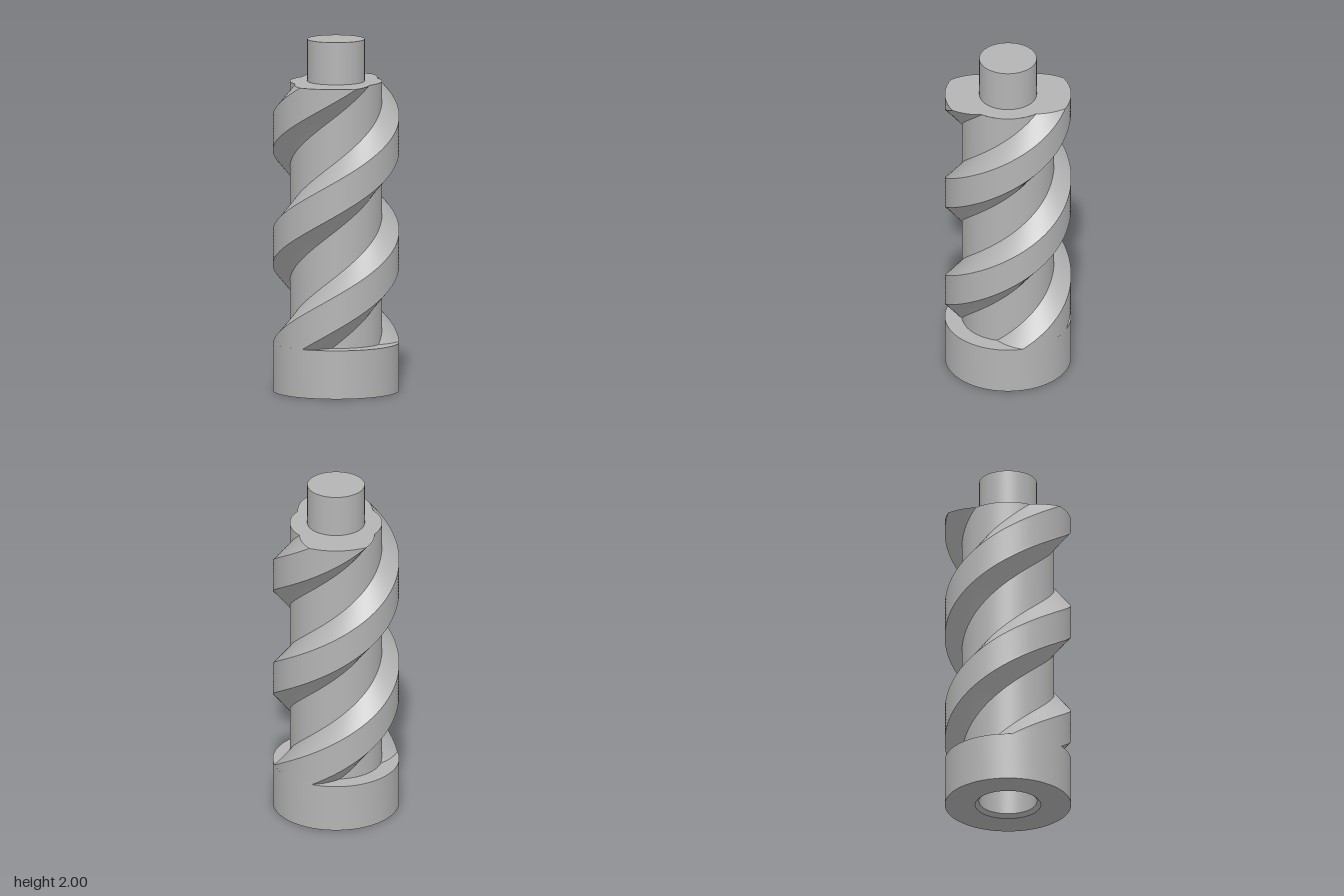
import * as THREE from 'three';
import { toCreasedNormals } from 'three/addons/utils/BufferGeometryUtils.js';

const OUTER = 0.356, CORE = 0.26, SHAFT = 0.162;
const Y0 = 0.275, Y1 = 1.76, PITCH = 1.3;
const deg = THREE.MathUtils.degToRad;
const CREST = deg(54.2);                    // crest centre angle at the top face
const LAND = deg(26.9), FOOT = deg(54);     // half widths of crest and thread foot

// Strip of thread surface between two angle/radius pairs, twisted along the height
function helicalStrip(a0, r0, a1, r1) {
  const geo = new THREE.PlaneGeometry(1, 1, 10, 160);
  const p = geo.attributes.position;
  for (let i = 0; i < p.count; i++) {
    const u = p.getX(i) + 0.5, y = Y0 + (p.getY(i) + 0.5) * (Y1 - Y0);
    const a = a0 + (a1 - a0) * u + (y - Y1) / PITCH * Math.PI * 2;
    const r = r0 + (r1 - r0) * u;
    p.setXYZ(i, r * Math.cos(a), y, -r * Math.sin(a));
  }
  geo.computeVertexNormals();
  return geo;
}

// Flat end face with the two-lobed thread section
function endFace() {
  const pts = [];
  const run = (a0, r0, a1, r1) => {
    for (let i = 0; i < 16; i++) {
      const t = i / 16, a = a0 + (a1 - a0) * t, r = r0 + (r1 - r0) * t;
      pts.push(new THREE.Vector2(r * Math.cos(a), r * Math.sin(a)));
    }
  };
  for (const c of [CREST, CREST + Math.PI]) {
    run(c - FOOT, CORE, c - LAND, OUTER);
    run(c - LAND, OUTER, c + LAND, OUTER);
    run(c + LAND, OUTER, c + FOOT, CORE);
    run(c + FOOT, CORE, c + Math.PI - FOOT, CORE);
  }
  return new THREE.ShapeGeometry(new THREE.Shape(pts)).rotateX(-Math.PI / 2).translate(0, Y1, 0);
}

function turned(profile) {
  const pts = profile.map(([r, y]) => new THREE.Vector2(r, y));
  return toCreasedNormals(new THREE.LatheGeometry(pts, 96), 0.5);
}

export function createModel() {
  const steel = new THREE.MeshStandardMaterial({ color: 0xb4b4b4 });
  steel.name = 'steel grey';
  const model = new THREE.Group();
  model.name = 'twinStartScrew';
  const add = (name, geo, parent = model) => {
    const mesh = new THREE.Mesh(geo, steel);
    mesh.name = name;
    parent.add(mesh);
  };

  // Collar with a chamfered blind socket underneath
  add('baseCollar', turned([[0, 0.26], [0.163, 0.26], [0.163, 0.02], [0.185, 0],
    [OUTER, 0], [OUTER, Y0], [0.2, Y0]]));
  add('core', turned([[CORE, Y0], [CORE, Y1]]));
  add('topShaft', turned([[SHAFT, Y1], [SHAFT, 2], [0, 2]]));
  add('threadEndFace', endFace());

  // Two identical threads, half a turn apart
  for (let k = 0; k < 2; k++) {
    const thread = new THREE.Group();
    thread.name = 'thread' + (k + 1);
    thread.rotation.y = k * Math.PI;
    add('upperFlank', helicalStrip(CREST - FOOT, CORE, CREST - LAND, OUTER), thread);
    add('crest', helicalStrip(CREST - LAND, OUTER, CREST + LAND, OUTER), thread);
    add('lowerFlank', helicalStrip(CREST + LAND, OUTER, CREST + FOOT, CORE), thread);
    model.add(thread);
  }
  return model;
}
